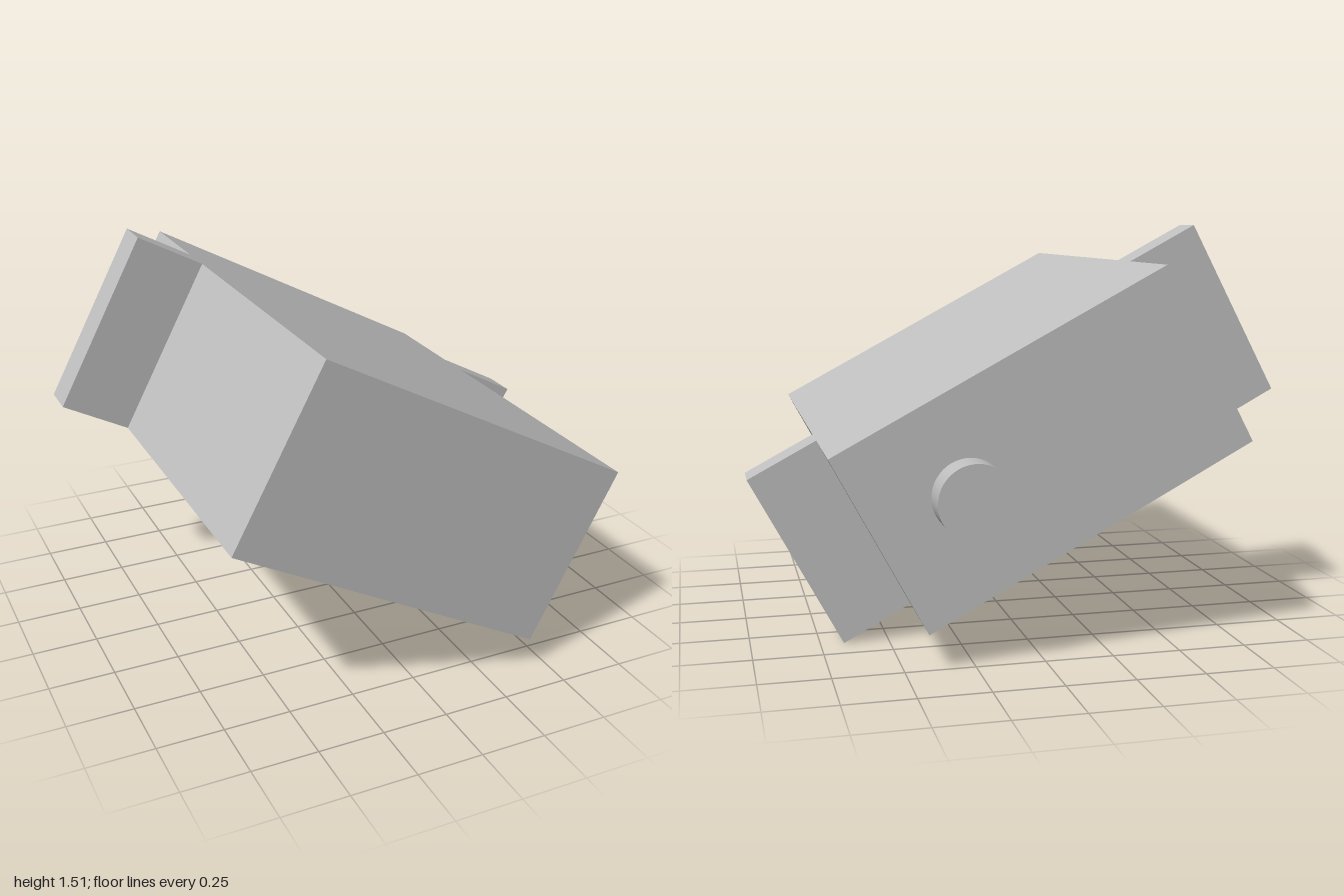
import * as THREE from 'three';

export function createModel() {
  const model = new THREE.Group();
  model.name = 'servoMotor';
  const grey = new THREE.MeshStandardMaterial({ color: 0xc0c0c0 });
  grey.name = 'light grey';

  const add = (name, geometry, x, y, z) => {
    const mesh = new THREE.Mesh(geometry, grey);
    mesh.name = name;
    mesh.position.set(x, y, z);
    servo.add(mesh);
    return mesh;
  };

  // Whole motor leans about the z axis
  const servo = new THREE.Group();
  servo.name = 'tiltedServo';
  servo.position.y = 0.757;
  servo.rotation.z = -Math.atan2(0.89, 1.663);
  model.add(servo);

  const bodyLength = 1.325, flangeLength = 1.886, height = 0.707;

  // Motor case
  add('body', new THREE.BoxGeometry(bodyLength, height, 1.655), 0, 0, 0.0575);

  // Mounting tabs at both ends
  const tabLength = (flangeLength - bodyLength) / 2;
  for (const side of [-1, 1]) {
    add(side > 0 ? 'leftMountingTab' : 'rightMountingTab',
      new THREE.BoxGeometry(tabLength, height, 0.14),
      side * (bodyLength + tabLength) / 2, 0, -0.318);
  }

  // Output shaft at the back
  const shaft = add('outputShaft', new THREE.CylinderGeometry(0.132, 0.132, 0.117, 48), 0.312, 0, -0.8265);
  shaft.rotation.x = Math.PI / 2;

  return model;
}
